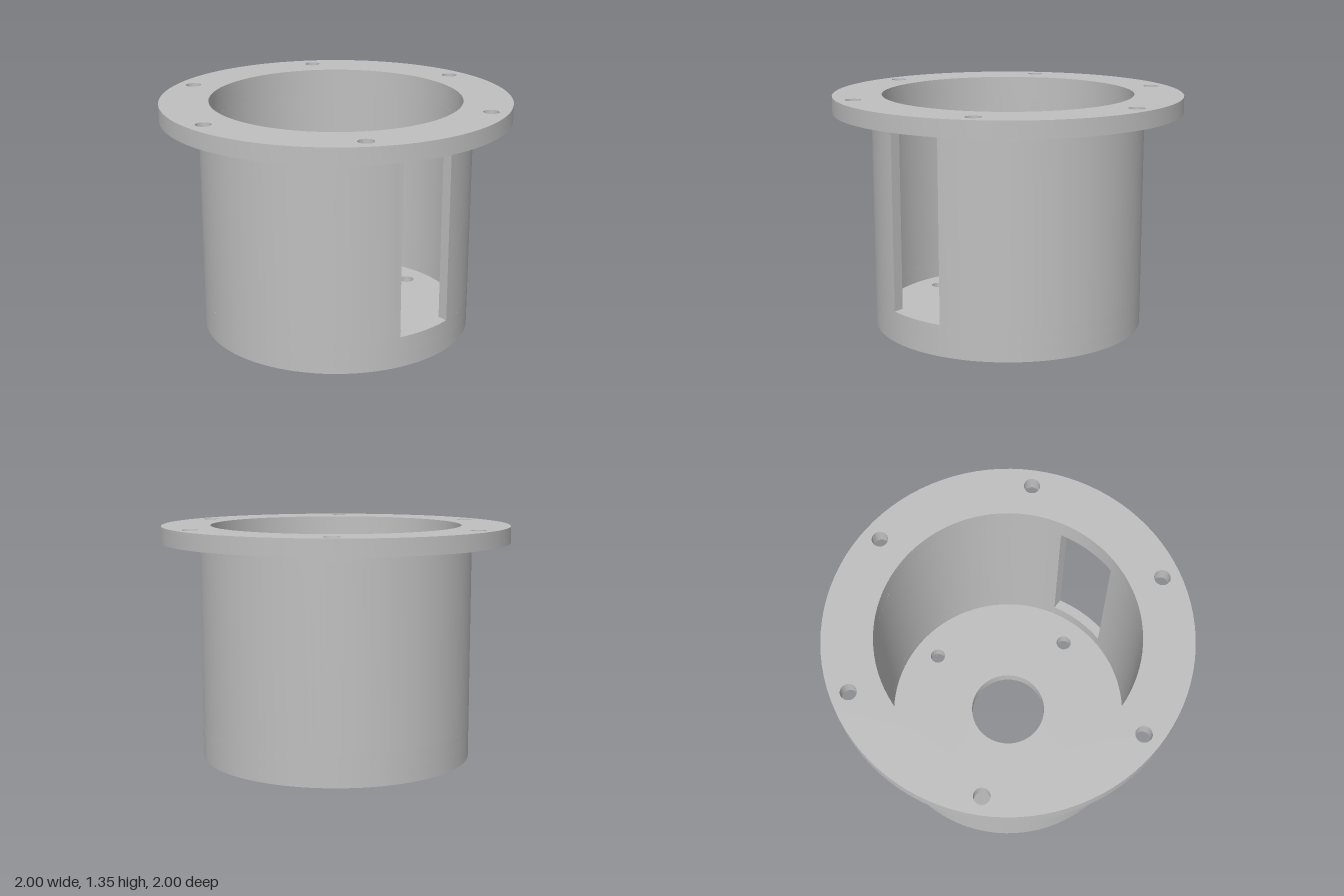
import * as THREE from 'three';
import { toCreasedNormals } from 'three/addons/utils/BufferGeometryUtils.js';

const OUTER = 0.78, INNER = 0.72, FLANGE = 1.0;
const FLOOR_TOP = 0.08, SLOT_BOTTOM = 0.18, SLOT_TOP = 1.205, FLANGE_BOTTOM = 1.25, TOP = 1.345;
const SLOT_HALF = 0.175, BOLT = 0.045;

export function createModel() {
  const model = new THREE.Group();
  model.name = 'flangedHousing';
  const metal = new THREE.MeshStandardMaterial({ color: 0xbfbfbf });
  metal.name = 'grey metal';

  // Extrudes a plan shape upward between two heights
  const slab = (name, shape, y0, y1) => {
    const geo = new THREE.ExtrudeGeometry(shape, { depth: y1 - y0, bevelEnabled: false, curveSegments: 48 });
    geo.rotateX(-Math.PI / 2).translate(0, y0, 0);
    const mesh = new THREE.Mesh(toCreasedNormals(geo, 0.5), metal);
    mesh.name = name;
    model.add(mesh);
  };

  const disc = (r) => new THREE.Shape().absarc(0, 0, r, 0, Math.PI * 2, false);
  const cutHole = (shape, x, y, r) =>
    shape.holes.push(new THREE.Path().absarc(x, y, r, 0, Math.PI * 2, true));
  const boltCircle = (shape, count, radius) => {
    for (let i = 0; i < count; i++) {
      const a = Math.PI / 2 + (i / count) * Math.PI * 2;
      cutHole(shape, Math.cos(a) * radius, Math.sin(a) * radius, BOLT);
    }
  };
  const ring = (r) => {
    const s = disc(r);
    cutHole(s, 0, 0, INNER);
    return s;
  };

  // Floor with centre bore and four bolt holes
  const floor = disc(OUTER);
  cutHole(floor, 0, 0, 0.227);
  boltCircle(floor, 4, 0.575);
  slab('floor', floor, 0, FLOOR_TOP);

  // Wall below, beside and above the parallel-sided slot on +x
  slab('lowerWall', ring(OUTER), FLOOR_TOP, SLOT_BOTTOM);
  const a = Math.asin(SLOT_HALF / OUTER), b = Math.asin(SLOT_HALF / INNER);
  const slotted = new THREE.Shape();
  slotted.absarc(0, 0, OUTER, a, Math.PI * 2 - a, false);
  slotted.absarc(0, 0, INNER, Math.PI * 2 - b, b, true);
  slotted.closePath();
  slab('slottedWall', slotted, SLOT_BOTTOM, SLOT_TOP);
  slab('upperWall', ring(OUTER), SLOT_TOP, FLANGE_BOTTOM);

  // Mounting flange with six bolt holes
  const flange = ring(FLANGE);
  boltCircle(flange, 6, 0.9);
  slab('flange', flange, FLANGE_BOTTOM, TOP);

  return model;
}
